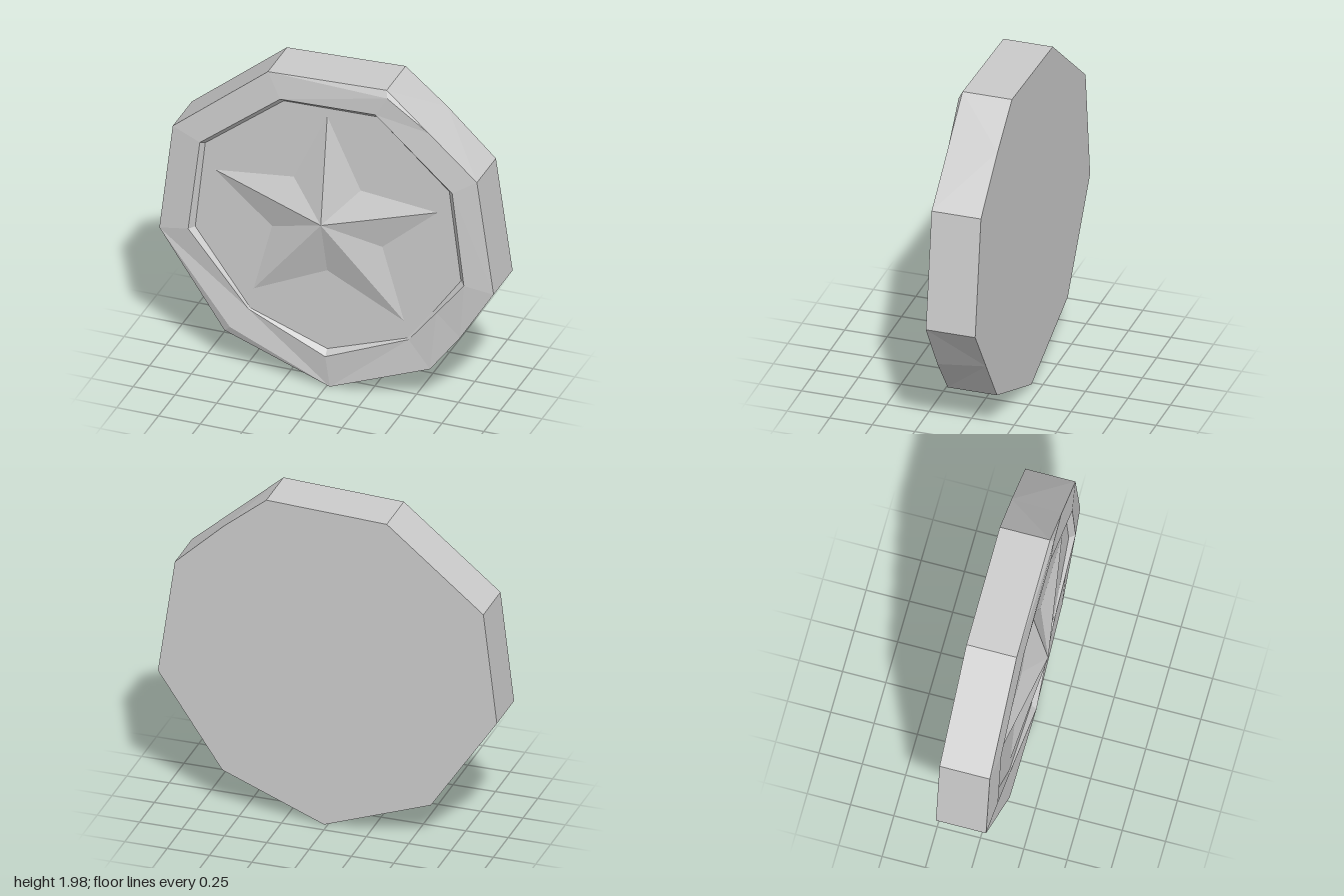
import * as THREE from 'three';

const BACK = -0.19, EDGE = 0.1, RIM = 0.12, FLOOR = 0.088;

// Faceted mesh from a list of [a, b, c] corner triples
function facets(name, tris, material) {
  const geo = new THREE.BufferGeometry();
  geo.setAttribute('position', new THREE.Float32BufferAttribute(tris.flat(2), 3));
  geo.computeVertexNormals();
  const mesh = new THREE.Mesh(geo, material);
  mesh.name = name;
  return mesh;
}

// Band between two matching loops, counter-clockwise seen from the front
function band(outer, inner, flipped = []) {
  const n = outer.length, tris = [];
  for (let i = 0; i < n; i++) {
    const j = (i + 1) % n;
    const [a, b, c, d] = [outer[i], outer[j], inner[j], inner[i]];
    if (flipped.includes(i)) tris.push([a, b, d], [b, c, d]);
    else tris.push([a, b, c], [a, c, d]);
  }
  return tris.filter(([a, b, c]) => {
    const same = (p, q) => p.every((v, k) => v === q[k]);
    return !same(a, b) && !same(b, c) && !same(a, c);
  });
}

// Fan from a centre point to a closed loop
const fan = (centre, loop) => loop.map((p, i) => [centre, p, loop[(i + 1) % loop.length]]);
const atDepth = (pts, z) => pts.map(([x, y]) => [x, y, z]);

export function createModel() {
  const group = new THREE.Group();
  group.name = 'starMedal';
  const grey = new THREE.MeshStandardMaterial({ color: 0xcccccc, flatShading: true });
  grey.name = 'light grey';

  // Uneven nine-sided outline with two extra points on the right edges
  const outline = [[0.02, 0], [0.62, 0.24], [0.8, 0.48], [1, 0.8], [0.9, 1.5], [0.61, 1.757],
    [0.36, 1.98], [-0.35, 1.95], [-0.92, 1.48], [-1, 0.81], [-0.61, 0.23]];
  const front = atDepth(outline, EDGE);
  const back = atDepth(outline, BACK);
  back[2] = [0.81, 0.52, BACK];
  back[5] = [0.61, 1.775, BACK];

  // Edge and back of the disc
  group.add(facets('discEdge', band(back, front, [4, 1]), grey));
  group.add(facets('discBack', fan([0, 1, BACK], back).map(([a, b, c]) => [a, c, b]), grey));

  // Raised rim, chipped at two corners
  const ridge = front.slice();
  ridge[6] = [0.37, 1.94, RIM];
  ridge[10] = [-0.57, 0.27, RIM];
  const lip = atDepth([[0, 0.2], [0.49, 0.4], [0.66, 0.615], [0.83, 0.83], [0.76, 1.41], [0.53, 1.615],
    [0.3, 1.82], [-0.27, 1.8], [-0.75, 1.42], [-0.82, 0.85], [-0.47, 0.395]], RIM);
  lip[1][2] = lip[10][2] = 0.095;
  lip[2][2] = 0.108;
  group.add(facets('rimBevel', band(front, ridge), grey));
  group.add(facets('rim', band(ridge, lip, [10]), grey));

  // Recess wall and floor
  const base = atDepth([[0, 0.235], [0.48, 0.405], [0.64, 0.615], [0.8, 0.84], [0.73, 1.4], [0.515, 1.595],
    [0.3, 1.79], [-0.26, 1.775], [-0.73, 1.405], [-0.79, 0.855], [-0.46, 0.4]], FLOOR);
  group.add(facets('recessWall', band(lip, base), grey));
  group.add(facets('recessFloor', fan([0, 1.08, FLOOR], base), grey));

  // Five-pointed star rising to a central peak
  const star = atDepth([[0, 1.73], [-0.2, 1.3], [-0.67, 1.245], [-0.33, 0.955], [-0.44, 0.53],
    [0, 0.74], [0.46, 0.51], [0.33, 0.96], [0.66, 1.25], [0.2, 1.295]], FLOOR + 0.001);
  group.add(facets('star', fan([0, 1.08, 0.187], star), grey));
  return group;
}
